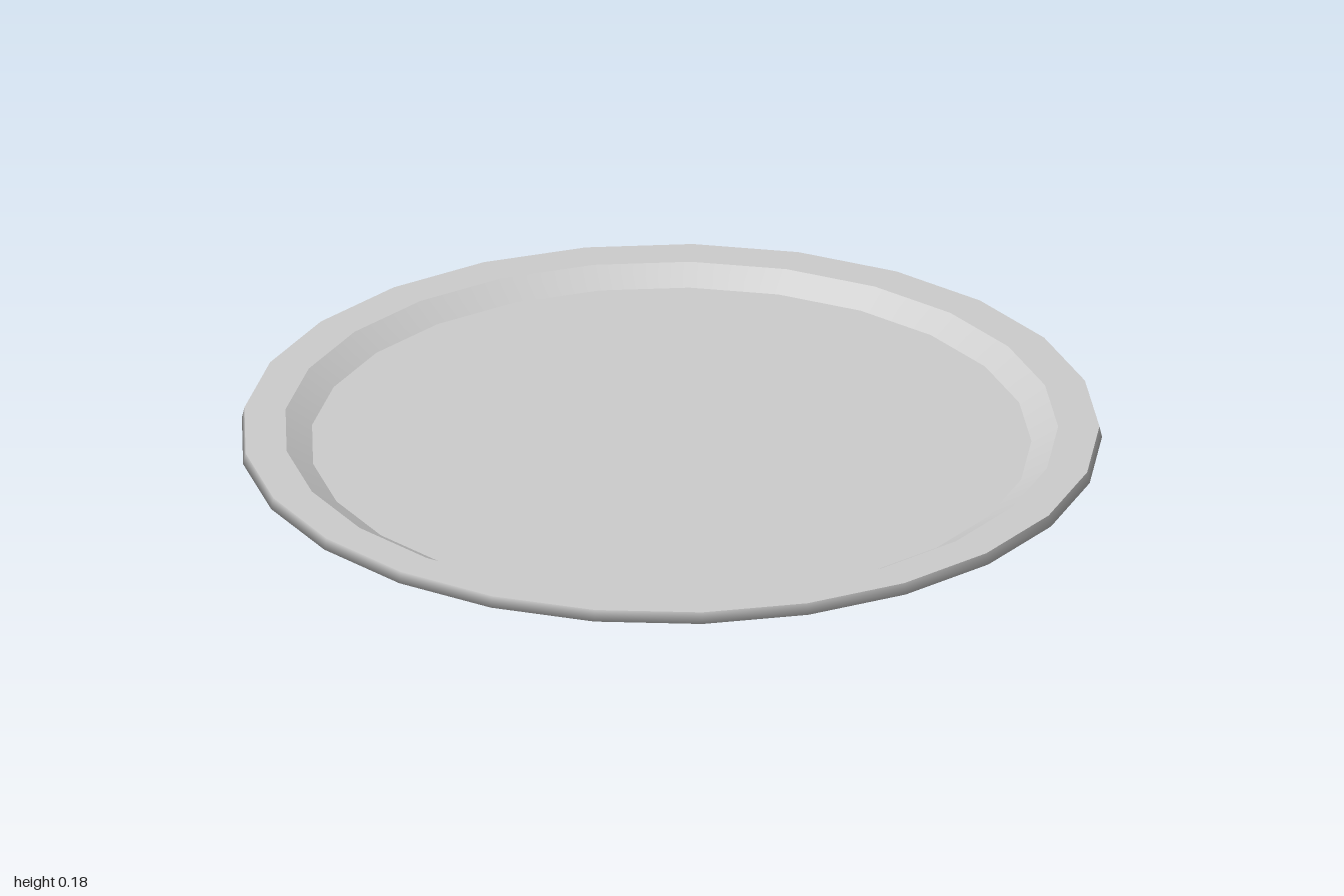
import * as THREE from 'three';

const SIDES = 25;

// Revolve a short profile (radius, height); runs from base centre, outward, up and back in.
function ring(name, profile, material) {
  const points = profile.map(([r, y]) => new THREE.Vector2(r, y));
  const mesh = new THREE.Mesh(new THREE.LatheGeometry(points, SIDES, Math.PI / 2), material);
  mesh.name = name;
  return mesh;
}

export function createModel() {
  const group = new THREE.Group();
  group.name = 'plate';
  const material = new THREE.MeshStandardMaterial({ color: 0xcccccc });

  // Separate bands keep the edges between them sharp
  group.add(
    ring('footBase', [[0, 0], [0.58, 0]], material),
    ring('underside', [[0.58, 0], [0.602, 0.043], [0.76, 0.075], [1.002, 0.152], [0.996, 0.179]], material),
    ring('rim', [[0.996, 0.179], [0.9, 0.179]], material),
    ring('innerWall', [[0.9, 0.179], [0.838, 0.142]], material),
    ring('floor', [[0.838, 0.142], [0, 0.142]], material)
  );

  // Centre the odd-sided outline on x
  group.children.forEach((part) => { part.position.x = -0.004; });
  return group;
}
